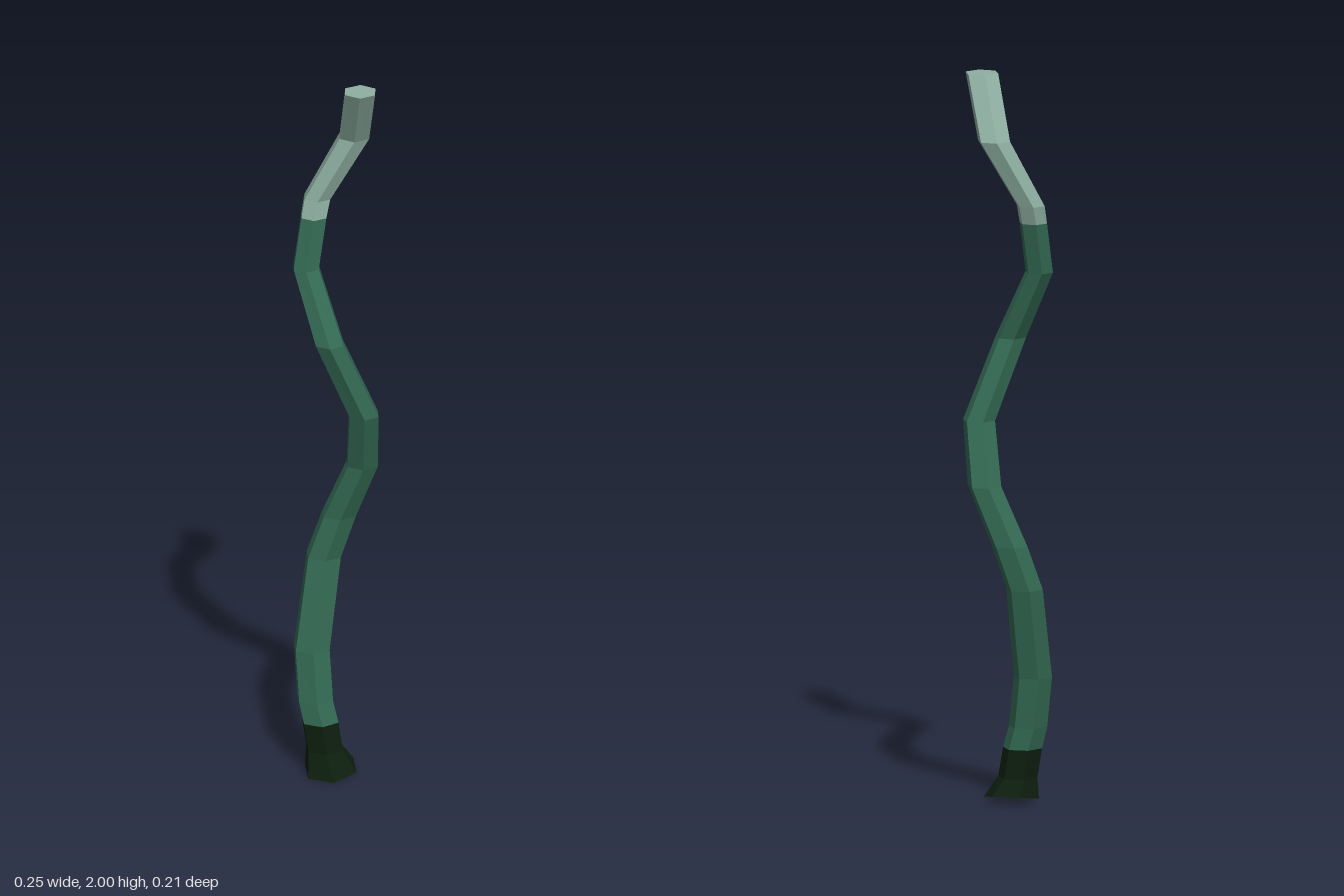
import * as THREE from 'three';

const SIDES = 6;

// Stem rings from the ground up: [height, centre x, centre z, radius]
const RINGS = [
  [0.012, -0.005, 0.043, 0.076],
  [0.07, -0.022, 0.045, 0.054],
  [0.15, -0.035, 0.045, 0.054],
  [0.21, -0.051, 0.042, 0.053],
  [0.35, -0.068, 0.025, 0.053],
  [0.60, -0.058, -0.034, 0.051],
  [0.72, -0.02, -0.05, 0.05],
  [0.88, 0.05, -0.045, 0.047],
  [1.05, 0.077, 0.008, 0.045],
  [1.27, 0.003, 0.07, 0.043],
  [1.46, -0.086, 0.022, 0.039],
  [1.60, -0.077, -0.01, 0.039],
  [1.65, -0.073, -0.025, 0.040],
  [1.83, 0.02, -0.062, 0.046],
  [2.0, 0.072, 0.021, 0.047],
];

// Corner of a ring; the stem twists slightly, and the foot slopes up to the back
function corner(i, k) {
  const [y, x, z, r] = RINGS[i];
  const a = (k / SIDES) * Math.PI * 2 + 0.14 * (y / 2);
  const dz = Math.sin(a) * r;
  return [x + Math.cos(a) * r, i === 0 ? y - dz * 0.18 : y, z + dz];
}

// Faceted tube between two rings, with optional end caps
function section(first, last, capBottom, capTop) {
  const pos = [];
  const tri = (a, b, c) => pos.push(...a, ...b, ...c);
  const centre = (i) => [RINGS[i][1], RINGS[i][0], RINGS[i][2]];
  for (let k = 0; k < SIDES; k++) {
    for (let i = first; i < last; i++) {
      const a = corner(i, k), b = corner(i, k + 1);
      const c = corner(i + 1, k + 1), d = corner(i + 1, k);
      tri(a, d, c);
      tri(a, c, b);
    }
    if (capBottom) tri(centre(first), corner(first, k), corner(first, k + 1));
    if (capTop) tri(centre(last), corner(last, k + 1), corner(last, k));
  }
  const geo = new THREE.BufferGeometry();
  geo.setAttribute('position', new THREE.Float32BufferAttribute(pos, 3));
  geo.computeVertexNormals();
  return geo;
}

function material(name, color) {
  const m = new THREE.MeshStandardMaterial({ color, flatShading: true });
  m.name = name;
  return m;
}

export function createModel() {
  const group = new THREE.Group();
  group.name = 'wavyStem';
  const add = (name, geo, mat) => {
    const mesh = new THREE.Mesh(geo, mat);
    mesh.name = name;
    group.add(mesh);
  };
  add('flaredFoot', section(0, 2, true, false), material('darkGreen', 0x0d1f0e));
  add('stalk', section(2, 11, false, false), material('green', 0x346b54));
  add('paleTip', section(11, 14, false, true), material('paleGreen', 0x8fb0a2));
  return group;
}
